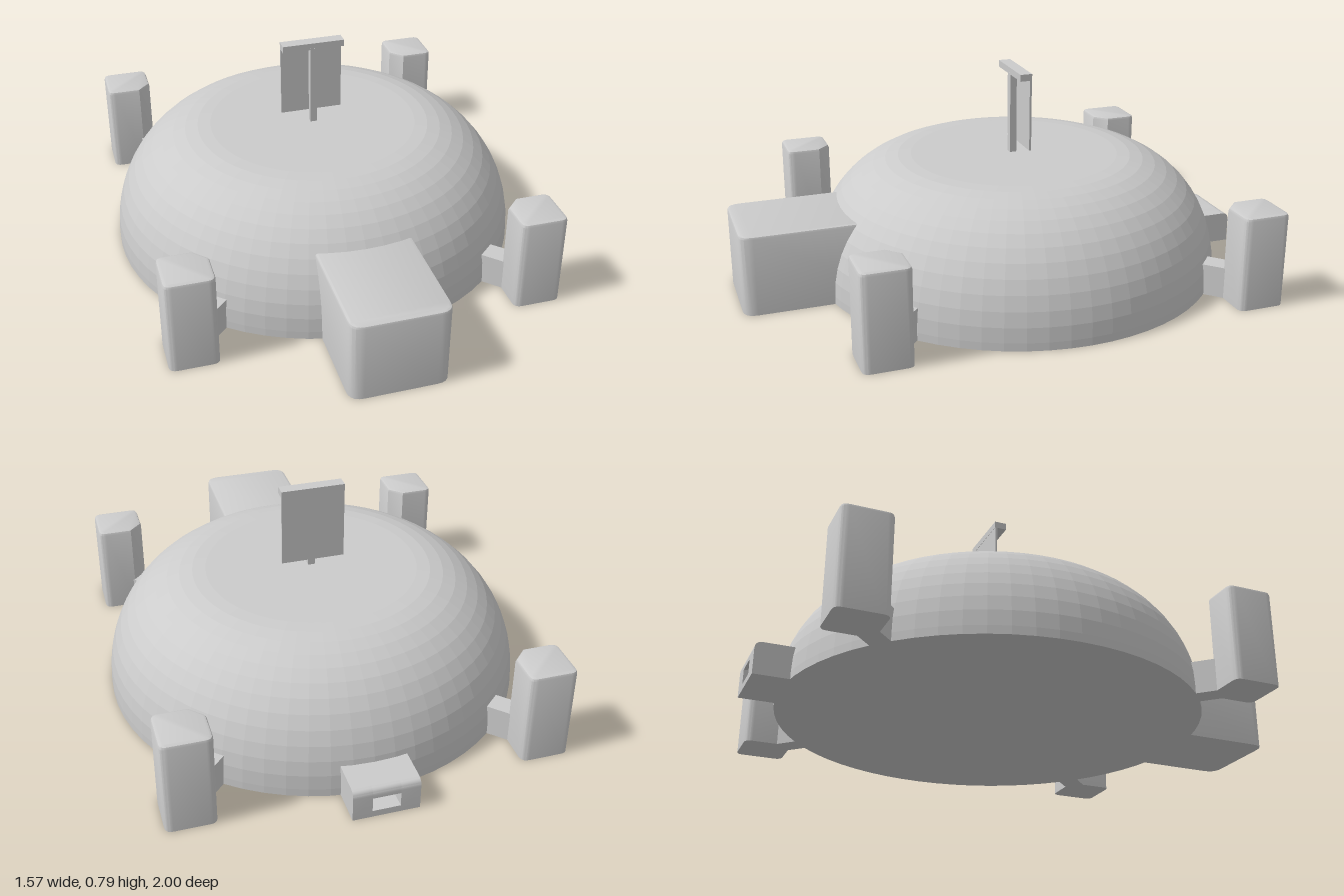
import * as THREE from 'three';
import { toCreasedNormals } from 'three/addons/utils/BufferGeometryUtils.js';

const CZ = -0.095; // z of the dome axis

export function createModel() {
  const model = new THREE.Group();
  model.name = 'domedBuilding';
  const grey = new THREE.MeshStandardMaterial({ color: 0xcccccc });
  const facet = new THREE.MeshStandardMaterial({ color: 0xcccccc, flatShading: true });

  function add(parent, name, geometry, x = 0, y = 0, z = 0, material = grey) {
    const mesh = new THREE.Mesh(geometry, material);
    mesh.name = name;
    mesh.position.set(x, y, z);
    parent.add(mesh);
    return mesh;
  }
  const box = (parent, name, w, h, d, x, y, z) =>
    add(parent, name, new THREE.BoxGeometry(w, h, d), x, y, z);

  // Raises a plan outline to a block with a beveled top and a flat foot
  function block(shape, height, bevel) {
    const g = new THREE.ExtrudeGeometry(shape, {
      depth: height - bevel, bevelThickness: bevel, bevelSize: bevel,
      bevelOffset: -bevel, bevelSegments: 2, curveSegments: 5,
    });
    g.rotateX(-Math.PI / 2);
    const p = g.attributes.position;
    for (let i = 0; i < p.count; i++) p.setY(i, Math.max(0, p.getY(i)));
    return toCreasedNormals(g, 0.5);
  }

  // Dome: flat floor, elliptical shoulder, flat top
  const profile = [new THREE.Vector2(0, 0)];
  profile.push(new THREE.Vector2(0.785, 0));
  const steps = 12;
  for (let i = 0; i <= steps; i++) {
    const a = (i / steps) * Math.PI / 2;
    profile.push(new THREE.Vector2(0.4 + 0.385 * Math.cos(a), 0.03 + 0.425 * Math.sin(a)));
  }
  profile.push(new THREE.Vector2(0, 0.455));
  add(model, 'dome', new THREE.LatheGeometry(profile, 64), 0, 0, CZ, facet);

  // Four corner towers, each with the inner corner cut off for its link
  const t = 0.09, r = 0.028, cut = 0.05;
  const plan = new THREE.Shape();
  plan.moveTo(-t + cut, t);
  plan.lineTo(t - r, t);
  plan.quadraticCurveTo(t, t, t, t - r);
  plan.lineTo(t, -t + r);
  plan.quadraticCurveTo(t, -t, t - r, -t);
  plan.lineTo(-t + r, -t);
  plan.quadraticCurveTo(-t, -t, -t, -t + r);
  plan.lineTo(-t, t - cut);
  plan.closePath();
  const towerGeometry = block(plan, 0.36, 0.012);
  [[1, 1], [1, -1], [-1, -1], [-1, 1]].forEach(([sx, sz], i) => {
    const corner = new THREE.Group();
    corner.name = (sz > 0 ? 'front' : 'back') + (sx > 0 ? 'Left' : 'Right') + 'Corner';
    corner.position.set(sx * 0.64, 0, CZ + sz * 0.7);
    corner.rotation.y = i * Math.PI / 2;
    add(corner, 'tower', towerGeometry);
    const link = box(corner, 'link', 0.3, 0.12, 0.08, -0.155, 0.06, -0.155);
    link.rotation.y = -Math.PI / 4;
    model.add(corner);
  });

  // Front porch with rounded outer corners
  const porch = new THREE.Shape();
  const w = 0.18, pr = 0.05;
  porch.moveTo(-w, 0);
  porch.lineTo(-w, -0.6 + pr);
  porch.quadraticCurveTo(-w, -0.6, -w + pr, -0.6);
  porch.lineTo(w - pr, -0.6);
  porch.quadraticCurveTo(w, -0.6, w, -0.6 + pr);
  porch.lineTo(w, 0);
  porch.closePath();
  add(model, 'frontPorch', block(porch, 0.305, 0.01), 0, 0, 0.4);

  // Back entry: rounded top edge, with a rectangular recess in the middle
  function entrySlice(name, x, width, recessed) {
    const s = new THREE.Shape();
    s.moveTo(0.7, 0);
    s.lineTo(1, 0);
    if (recessed) {
      s.lineTo(1, 0.025);
      s.lineTo(0.85, 0.025);
      s.lineTo(0.85, 0.08);
      s.lineTo(1, 0.08);
    }
    s.lineTo(1, 0.092);
    s.quadraticCurveTo(1, 0.12, 0.972, 0.12);
    s.lineTo(0.7, 0.12);
    s.closePath();
    const g = new THREE.ExtrudeGeometry(s, { depth: width, bevelEnabled: false, curveSegments: 6 });
    g.translate(0, 0, -width / 2).rotateY(Math.PI / 2);
    add(entry, name, toCreasedNormals(g, 0.5), x);
  }
  const entry = new THREE.Group();
  entry.name = 'backEntry';
  model.add(entry);
  entrySlice('entryMiddle', 0, 0.1, true);
  for (const s of [1, -1]) entrySlice('entrySide', s * 0.085, 0.07, false);

  // Banner on a pole at the top of the dome
  const banner = new THREE.Group();
  banner.name = 'banner';
  model.add(banner);
  box(banner, 'pole', 0.026, 0.33, 0.026, 0, 0.605, -0.088);
  box(banner, 'crossbar', 0.24, 0.026, 0.046, 0, 0.777, -0.099);
  box(banner, 'cloth', 0.24, 0.285, 0.008, 0, 0.6325, -0.117);

  return model;
}
